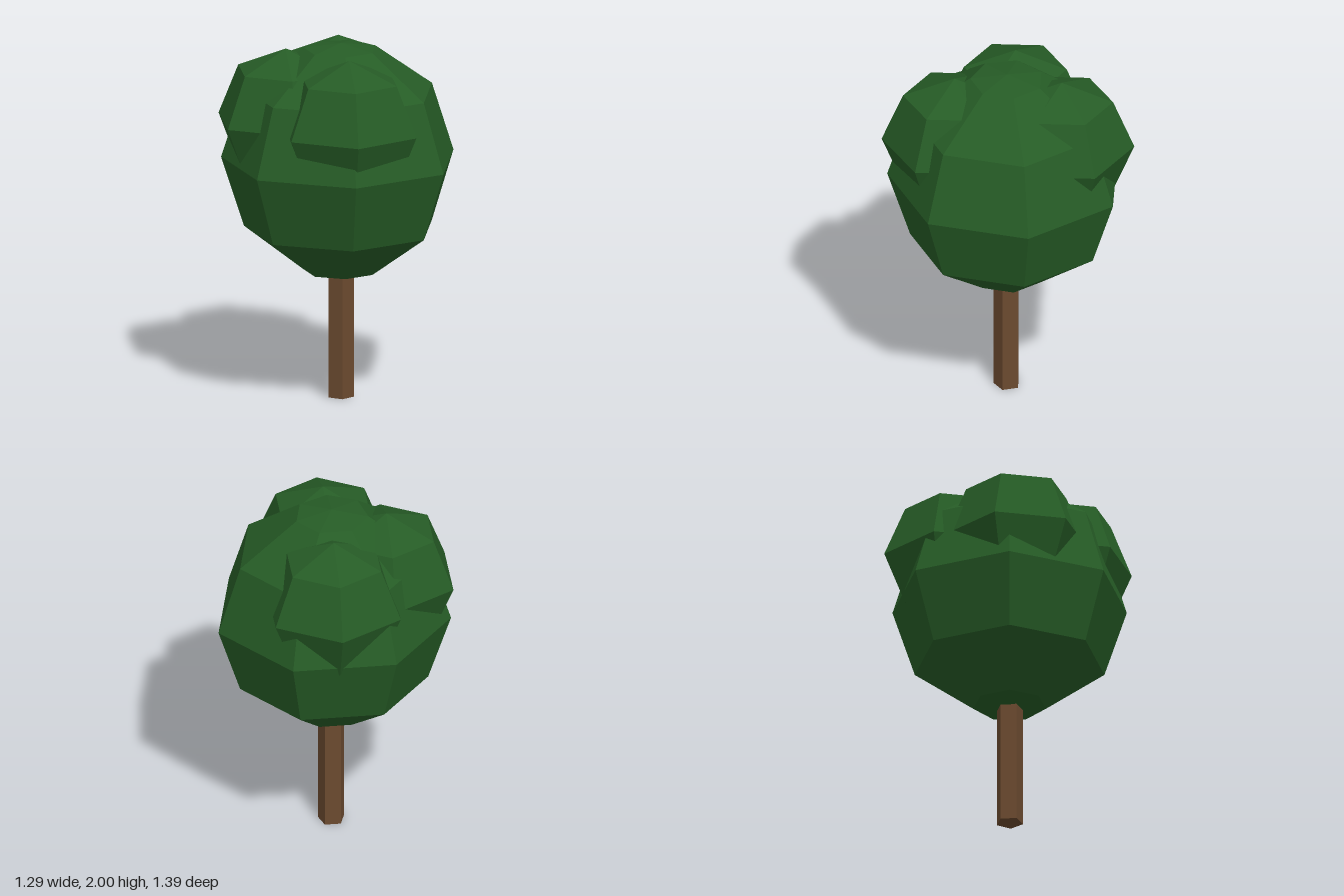
import * as THREE from 'three';

export function createModel() {
  const tree = new THREE.Group();
  tree.name = 'tree';

  const leafGreen = new THREE.MeshStandardMaterial({ color: 0x265c26, flatShading: true });
  leafGreen.name = 'leafGreen';
  const barkBrown = new THREE.MeshStandardMaterial({ color: 0x6b4a2f, flatShading: true });
  barkBrown.name = 'barkBrown';

  // Faceted ball with one corner facing +z; rings are polar angles in degrees, bottom to top
  function addFoliage(name, radius, sides, rings, x, y, z) {
    const profile = rings.map((deg) => {
      const a = THREE.MathUtils.degToRad(deg);
      return new THREE.Vector2(Math.max(0, radius * Math.sin(a)), -radius * Math.cos(a));
    });
    const mesh = new THREE.Mesh(new THREE.LatheGeometry(profile, sides), leafGreen);
    mesh.name = name;
    mesh.position.set(x, y, z);
    tree.add(mesh);
  }

  // Main crown: seven sides, small end caps
  addFoliage('crown', 0.66, 7, [0, 18, 54, 90, 126, 162, 180], 0, 1.34, 0);

  // Leaf clumps pushed into the crown's upper half
  const clumps = [
    ['frontClump', 0.01, 0.29],
    ['backClump', 0.025, -0.3],
    ['rightClump', -0.3, -0.03],
  ];
  for (const [name, x, z] of clumps) {
    addFoliage(name, 0.4, 6, [0, 45, 90, 135, 180], x, 1.57, z);
  }

  // Five-sided trunk, its top buried in the crown
  const trunk = new THREE.Mesh(new THREE.CylinderGeometry(0.075, 0.075, 0.76, 5), barkBrown);
  trunk.name = 'trunk';
  trunk.position.y = 0.38;
  tree.add(trunk);

  return tree;
}
